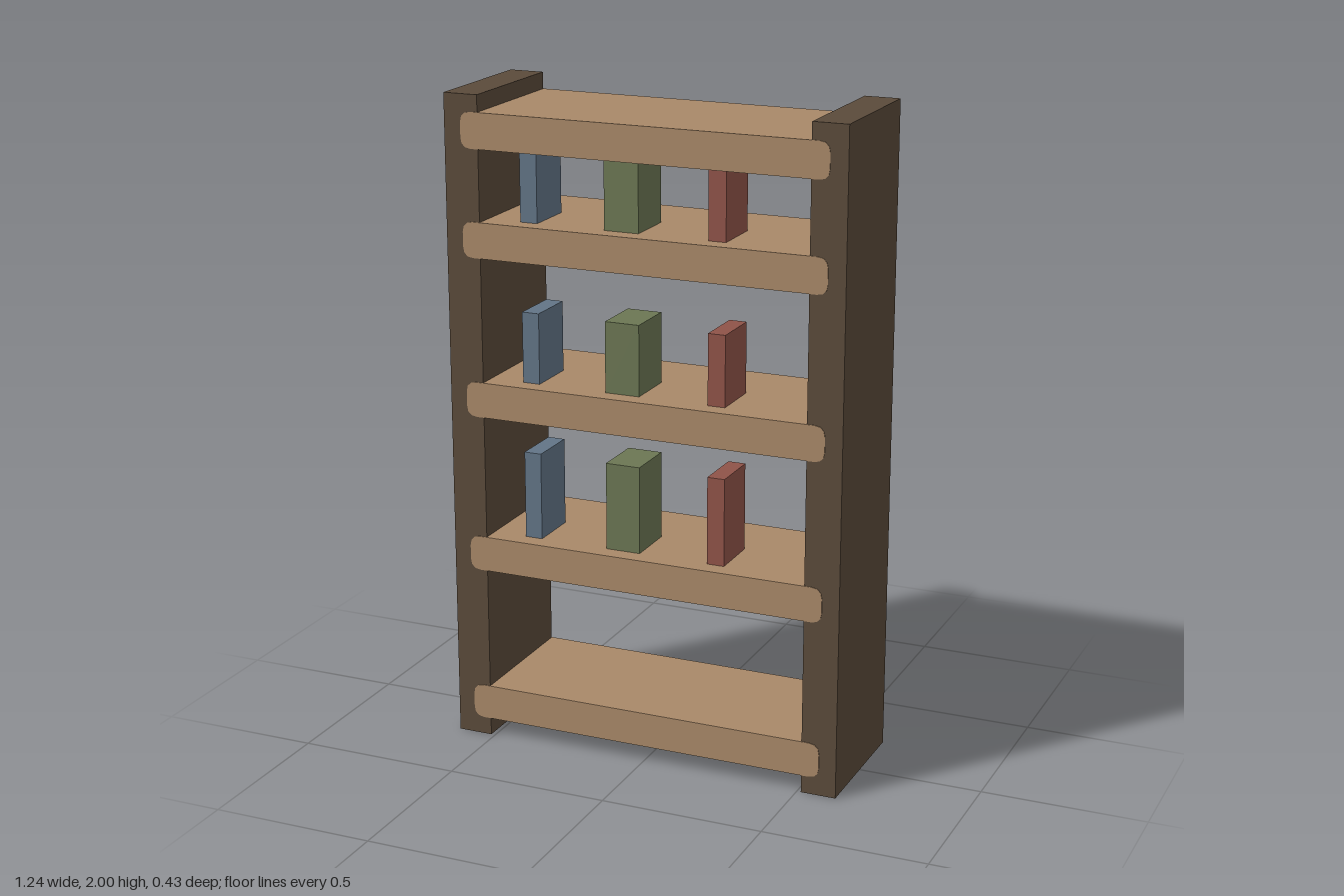
import * as THREE from 'three';

const material = (name, color) => {
  const m = new THREE.MeshStandardMaterial({ color });
  m.name = name;
  return m;
};

export function createModel() {
  const group = new THREE.Group();
  const darkWood = material('dark wood', 0x5a4a3a);
  const lightWood = material('light wood', 0xa88868);
  const blue = material('blue cover', 0x627486);
  const green = material('green cover', 0x6b7653);
  const red = material('red cover', 0x8f5348);

  const add = (name, geometry, mat, x, y, z) => {
    const mesh = new THREE.Mesh(geometry, mat);
    mesh.name = name;
    mesh.position.set(x, y, z);
    group.add(mesh);
  };

  // Upright side panels
  const panel = new THREE.BoxGeometry(0.108, 2, 0.43);
  add('leftSidePanel', panel, darkWood, 0.567, 1, 0);
  add('rightSidePanel', panel, darkWood, -0.567, 1, 0);

  // Shelf boards: rounded ends, a hair proud of the panels front and back
  const w = 0.568, h = 0.054, r = 0.032, depth = 0.434;
  const profile = new THREE.Shape();
  profile.moveTo(-w + r, -h);
  profile.lineTo(w - r, -h);
  profile.quadraticCurveTo(w, -h, w, -h + r);
  profile.lineTo(w, h - r);
  profile.quadraticCurveTo(w, h, w - r, h);
  profile.lineTo(-w + r, h);
  profile.quadraticCurveTo(-w, h, -w, h - r);
  profile.lineTo(-w, -h + r);
  profile.quadraticCurveTo(-w, -h, -w + r, -h);
  const board = new THREE.ExtrudeGeometry(profile, { depth, bevelEnabled: false, curveSegments: 3 });
  board.translate(0, 0, -depth / 2);
  [0.109, 0.597, 1.084, 1.571, 1.895].forEach((y, i) => add(`shelf${i + 1}`, board, lightWood, 0, y, 0));

  // Books: the same three on each of the upper shelves
  const books = [
    ['blueBook', blue, -0.38, 0.054],
    ['greenBook', green, -0.084, 0.108],
    ['redBook', red, 0.214, 0.054],
  ];
  [[0.65, 0.92], [1.137, 1.354], [1.624, 1.842]].forEach(([bottom, top], row) => {
    for (const [name, mat, x, width] of books) {
      add(`${name}${row + 1}`, new THREE.BoxGeometry(width, top - bottom, 0.162), mat, x, (bottom + top) / 2, 0.08);
    }
  });

  return group;
}
